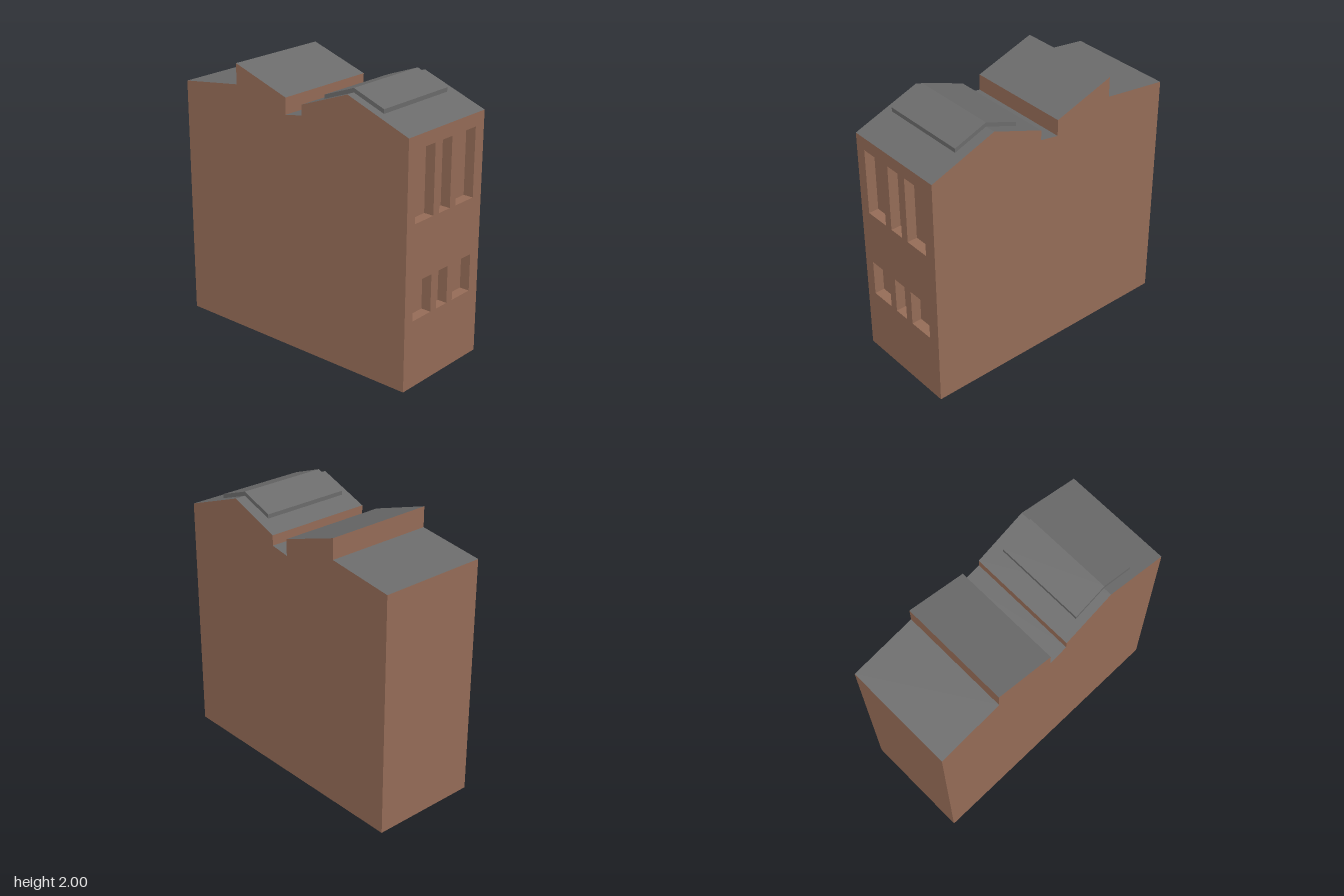
import * as THREE from 'three';

const brick = new THREE.MeshStandardMaterial({ color: 0x956c57, flatShading: true });
const slate = new THREE.MeshStandardMaterial({ color: 0x6b6b6b, flatShading: true });

const HALF = 0.406;    // half width of the house
const RECESS = 0.075;  // depth of the window openings

// Flat-shaded mesh from four-cornered faces, corners anticlockwise from outside
function quadMesh(name, quads, material) {
  const positions = quads.flatMap(([a, b, c, d]) => [a, b, c, a, c, d].flat());
  const geometry = new THREE.BufferGeometry();
  geometry.setAttribute('position', new THREE.Float32BufferAttribute(positions, 3));
  geometry.computeVertexNormals();
  const mesh = new THREE.Mesh(geometry, material);
  mesh.name = name;
  return mesh;
}

// Face swept across x along the profile edge p -> q, points being [z, y]
const strip = (p, q, x0, x1) => [
  [x0, p[1], p[0]], [x1, p[1], p[0]], [x1, q[1], q[0]], [x0, q[1], q[0]],
];

// Flat end of a profile, facing +x (side 1) or -x (side -1)
function profileEnd(name, profile, x, side, material) {
  const shape = new THREE.Shape(profile.map(([z, y]) => new THREE.Vector2(-side * z, y)));
  const mesh = new THREE.Mesh(new THREE.ShapeGeometry(shape).rotateY(side * Math.PI / 2), material);
  mesh.position.x = x;
  mesh.name = name;
  return mesh;
}

export function createModel() {
  const house = new THREE.Group();
  house.name = 'townhouse';

  // Side profile from the front foot over the roofs to the back foot
  const profile = [
    [1, 0], [1, 1.78], [0.5, 1.965], [0.105, 1.82], [0.105, 1.745], [-0.04, 1.72],
    [-0.04, 1.84], [-0.5, 1.995], [-0.5, 1.845], [-1, 1.78], [-1, 0],
  ];
  const walls = [], roofs = [];
  profile.forEach((p, i) => {
    if (i === 0) return; // the facade is built separately
    const from = p, to = profile[(i + 1) % profile.length];
    const upright = from[0] === to[0], floor = from[1] === 0;
    (upright || floor ? walls : roofs).push(strip(from, to, -HALF, HALF));
  });
  house.add(quadMesh('backWallStepsAndFloor', walls, brick));
  house.add(quadMesh('roofSlopes', roofs, slate));
  house.add(profileEnd('leftWall', profile, HALF, 1, brick));
  house.add(profileEnd('rightWall', profile, -HALF, -1, brick));

  // Facade with two rows of window openings
  const facade = new THREE.Shape([
    new THREE.Vector2(-HALF, 0), new THREE.Vector2(HALF, 0),
    new THREE.Vector2(HALF, 1.78), new THREE.Vector2(-HALF, 1.78),
  ]);
  const recesses = [];
  for (const [y0, y1] of [[0.495, 0.77], [1.185, 1.685]]) {
    for (const [x0, x1] of [[-0.322, -0.128], [-0.066, 0.052], [0.114, 0.312]]) {
      const corners = [[x0, y0], [x1, y0], [x1, y1], [x0, y1]];
      facade.holes.push(new THREE.Path(corners.map(([x, y]) => new THREE.Vector2(x, y))));
      const outer = corners.map(c => [...c, 1]);
      const inner = corners.map(c => [...c, 1 - RECESS]);
      recesses.push(inner);
      for (let i = 0; i < 4; i++) {
        const j = (i + 1) % 4;
        recesses.push([outer[i], outer[j], inner[j], inner[i]]);
      }
    }
  }
  const front = new THREE.Mesh(new THREE.ShapeGeometry(facade), brick);
  front.position.z = 1;
  front.name = 'facade';
  house.add(front, quadMesh('windowRecesses', recesses, brick));

  // Raised slab folded over the front ridge
  const slab = [
    [0.75, 1.87], [0.75, 1.903], [0.5, 1.995], [0.25, 1.903], [0.25, 1.87], [0.5, 1.965],
  ];
  const [s0, s1] = [-0.343, 0.325];
  const cap = new THREE.Group();
  cap.name = 'ridgeSlab';
  cap.add(
    quadMesh('slabFaces', slab.map((p, i) => strip(p, slab[(i + 1) % slab.length], s0, s1)), slate),
    profileEnd('slabLeftEnd', slab, s1, 1, slate),
    profileEnd('slabRightEnd', slab, s0, -1, slate),
  );
  house.add(cap);

  // The house stands very slightly turned
  house.rotation.y = -0.004;
  const model = new THREE.Group();
  model.add(house);
  return model;
}
